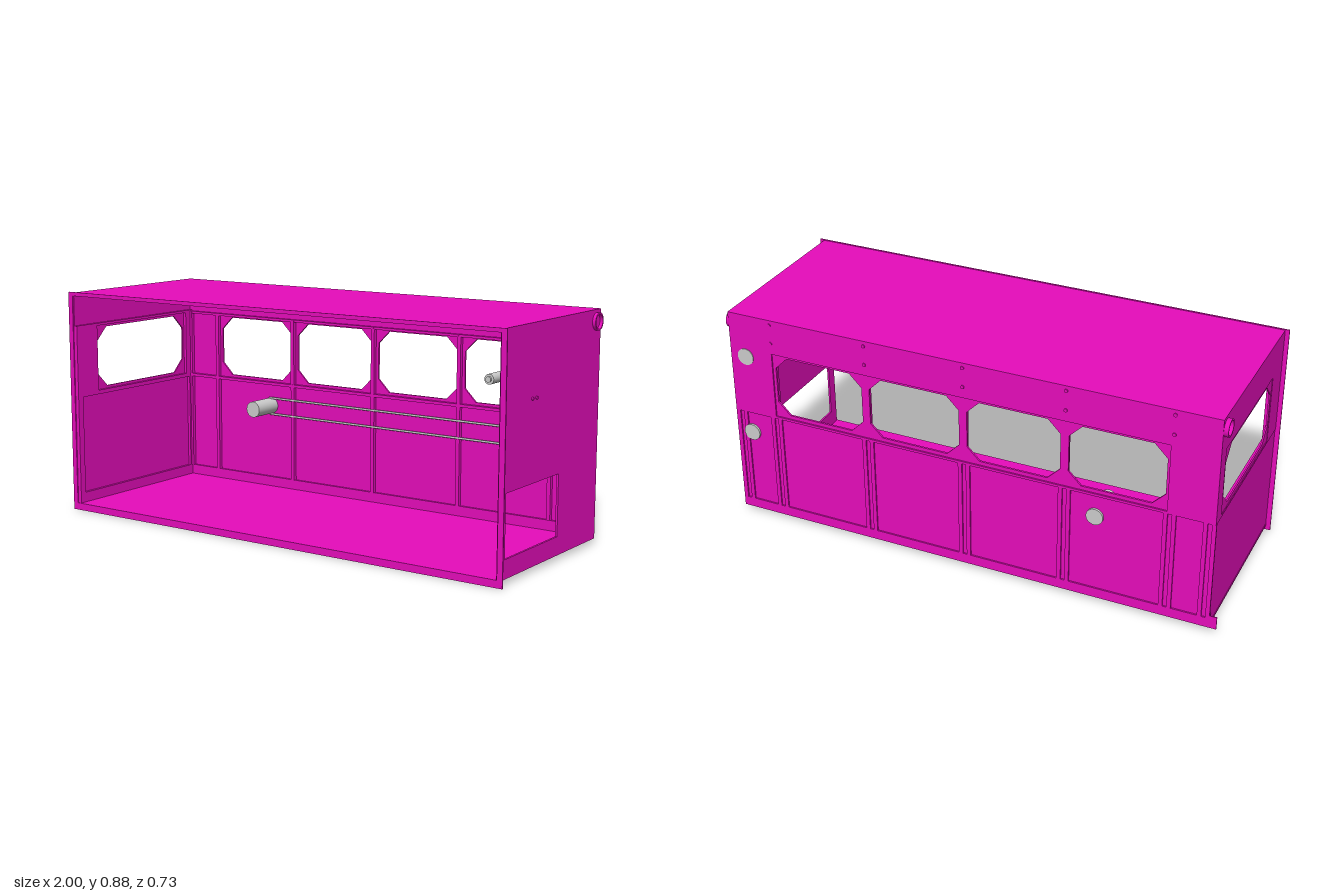
import * as THREE from 'three';

const shellMat = new THREE.MeshStandardMaterial({ color: 0xe60cbb, side: THREE.DoubleSide });
const greyMat = new THREE.MeshStandardMaterial({ color: 0xcccccc });

const X0 = -0.97, X1 = 0.98, Y0 = 0.02, Y1 = 0.88, ZB = -0.362, ZF = 0.362;
const SILL = 0.47, WIN_TOP = 0.74;
const POSTS = [-0.8, -0.4, 0, 0.4, 0.8];

function add(parent, name, geo, mat = shellMat) {
  const m = new THREE.Mesh(geo, mat);
  m.name = name;
  parent.add(m);
  return m;
}

// Box given by its minimum and maximum corners
function box(parent, name, x0, x1, y0, y1, z0, z1) {
  const m = add(parent, name, new THREE.BoxGeometry(x1 - x0, y1 - y0, z1 - z0));
  m.position.set((x0 + x1) / 2, (y0 + y1) / 2, (z0 + z1) / 2);
  return m;
}

// Rectangle outline with cut corners (c = 0 keeps it square)
function outline(a0, a1, b0, b1, c = 0) {
  const p = c
    ? [[a0 + c, b0], [a1 - c, b0], [a1, b0 + c], [a1, b1 - c], [a1 - c, b1], [a0 + c, b1], [a0, b1 - c], [a0, b0 + c]]
    : [[a0, b0], [a1, b0], [a1, b1], [a0, b1]];
  return p.map(([a, b]) => new THREE.Vector2(a, b));
}

// Flat plate with openings, extruded along +z
function plate(rect, holes, depth) {
  const s = new THREE.Shape(outline(...rect));
  holes.forEach(h => s.holes.push(new THREE.Path(outline(...h))));
  return new THREE.ExtrudeGeometry(s, { depth, bevelEnabled: false });
}

// Cylinder along z or x between two positions
function rod(parent, name, axis, r, from, to, u, v, mat = shellMat, open = false) {
  const g = new THREE.CylinderGeometry(r, r, to - from, 32, 1, open);
  const mid = (from + to) / 2;
  if (axis === 'z') g.rotateX(Math.PI / 2).translate(u, v, mid);
  else g.rotateZ(Math.PI / 2).translate(mid, u, v);
  return add(parent, name, g, mat);
}

function buildBackWall() {
  const g = new THREE.Group();
  g.name = 'backWall';
  const windows = [0, 1, 2, 3].map(i => [-0.78 + i * 0.4, -0.412 + i * 0.4, 0.485, 0.73, 0.05]);
  add(g, 'backSheet', plate([X0, X1, Y0, Y1], windows, 0.008)).position.z = -0.356;
  // upper outside skin around the recessed window band
  add(g, 'upperSkin', plate([X0, X1, 0.46, Y1], [[-0.79, 0.8, SILL, WIN_TOP]], 0.006)).position.z = ZB;
  box(g, 'lowerOuterRail', X0, X1, Y0, 0.06, ZB, -0.356);
  box(g, 'innerSkirting', X0, X1, Y0, 0.068, -0.348, -0.338);
  box(g, 'innerSill', X0, X1, 0.462, 0.474, -0.348, -0.332);
  box(g, 'innerHeader', X0, X1, 0.735, 0.745, -0.348, -0.335);
  box(g, 'blindRail', X0, X1, 0.787, 0.8, -0.348, -0.325);
  [...POSTS, -0.948, 0.955].forEach(x => {
    // each outside post is a pair of strips
    for (const s of [-1, 1]) {
      box(g, 'outerPostStrip', x + s * 0.016 - 0.008, x + s * 0.016 + 0.008, 0.06, 0.46, ZB, -0.356);
    }
    box(g, 'innerRib', x - 0.008, x + 0.008, 0.068, 0.74, -0.348, -0.333);
  });
  POSTS.forEach(x => {
    box(g, 'blindBracket', x - 0.008, x + 0.008, 0.785, 0.865, -0.35, -0.3);
    for (const y of [0.785, 0.862]) rod(g, 'bracketBolt', 'z', 0.007, -0.366, -0.355, x, y);
  });
  box(g, 'cornerTab', -1, X0, Y0, 0.072, ZB, -0.358);
  return g;
}

function buildSideWalls() {
  const g = new THREE.Group();
  g.name = 'sideWalls';
  // plates drawn in (-z, y) and turned to stand along z
  const side = (name, rect, holes, depth, x) => {
    const m = add(g, name, plate(rect, holes, depth).rotateY(Math.PI / 2));
    m.position.x = x;
  };
  side('leftWall', [-ZF, -ZB, Y0, Y1], [[-0.32, 0.06, 0.09, 0.32]], 0.008, X1 - 0.008);
  const win = [-0.235, 0.295, 0.487, 0.73, 0.055];
  side('rightWall', [-ZF, -ZB, Y0, Y1], [win], 0.006, X0 + 0.002);
  side('rightUpperSkin', [-ZF, -ZB, 0.46, Y1], [[-0.245, 0.305, SILL, WIN_TOP]], 0.002, X0);
  side('rightInnerFrame', [-ZF, 0.35, Y0, WIN_TOP + 0.01],
    [[-0.335, 0.325, 0.068, 0.46], [-0.245, 0.305, 0.476, WIN_TOP]], 0.012, X0 + 0.008);
  for (const z of [0.12, 0.15]) rod(g, 'wallBolt', 'x', 0.006, X1 - 0.004, X1 + 0.005, 0.62, z);
  return g;
}

function buildFrontFrame() {
  const g = new THREE.Group();
  g.name = 'frontFrame';
  add(g, 'frontFlange', plate([-0.987, 0.998, 0, 0.885], [[X0 + 0.004, X1 - 0.004, 0.028, 0.87]], 0.005)).position.z = 0.361;
  return g;
}

function buildBlindTube() {
  const g = new THREE.Group();
  g.name = 'blindTube';
  rod(g, 'rollerTube', 'x', 0.02, X0, X1, 0.838, -0.328);
  // open pipe collars showing on both end walls
  for (const [a, b] of [[-0.987, X0 + 0.012], [X1 - 0.012, 0.992]]) {
    rod(g, 'collarOutside', 'x', 0.033, a, b, 0.838, -0.328, shellMat, true);
    rod(g, 'collarInside', 'x', 0.027, a, b, 0.838, -0.328, shellMat, true);
    const ring = add(g, 'collarRim', new THREE.RingGeometry(0.027, 0.033, 32).rotateY(Math.PI / 2));
    ring.position.set(a < 0 ? a : b, 0.838, -0.328);
  }
  return g;
}

function buildBeltDrive() {
  const g = new THREE.Group();
  g.name = 'beltDrive';
  const R = 0.034, zBelt = -0.335;
  rod(g, 'motor', 'z', 0.033, -0.365, -0.22, -0.52, 0.373, greyMat);
  rod(g, 'lowerPulley', 'z', R, -0.365, -0.315, 0.915, 0.373, greyMat);
  rod(g, 'lowerHub', 'z', 0.012, -0.315, -0.3, 0.915, 0.373, greyMat);
  rod(g, 'upperPulley', 'z', R, -0.365, -0.315, 0.915, 0.705, greyMat);
  rod(g, 'longShaft', 'z', 0.018, -0.315, 0.335, 0.915, 0.705, greyMat);
  rod(g, 'shaftTip', 'z', 0.01, 0.335, 0.342, 0.915, 0.705, greyMat);
  // straight belt runs between the pulleys
  const run = (name, pts) => {
    const path = new THREE.CurvePath();
    for (let i = 1; i < pts.length; i++) {
      path.add(new THREE.LineCurve3(new THREE.Vector3(...pts[i - 1], zBelt), new THREE.Vector3(...pts[i], zBelt)));
    }
    add(g, name, new THREE.TubeGeometry(path, 24, 0.0045, 8), greyMat);
  };
  for (const s of [-1, 1]) {
    run('horizontalBelt', [[-0.52, 0.373 + s * R], [0.915, 0.373 + s * R]]);
    run('verticalBelt', [[0.915 + s * R, 0.373], [0.915 + s * R, 0.705]]);
  }
  run('sideCable', [[0.935, 0.69], [0.966, 0.625], [0.966, 0.33]]);
  return g;
}

export function createModel() {
  const model = new THREE.Group();
  model.name = 'openCabin';
  box(model, 'floor', X0, X1, Y0, Y0 + 0.008, ZB, ZF);
  box(model, 'roof', X0, X1, Y1 - 0.006, Y1 + 0.002, ZB, ZF);
  model.add(buildBackWall(), buildSideWalls(), buildFrontFrame(), buildBlindTube(), buildBeltDrive());
  return model;
}
